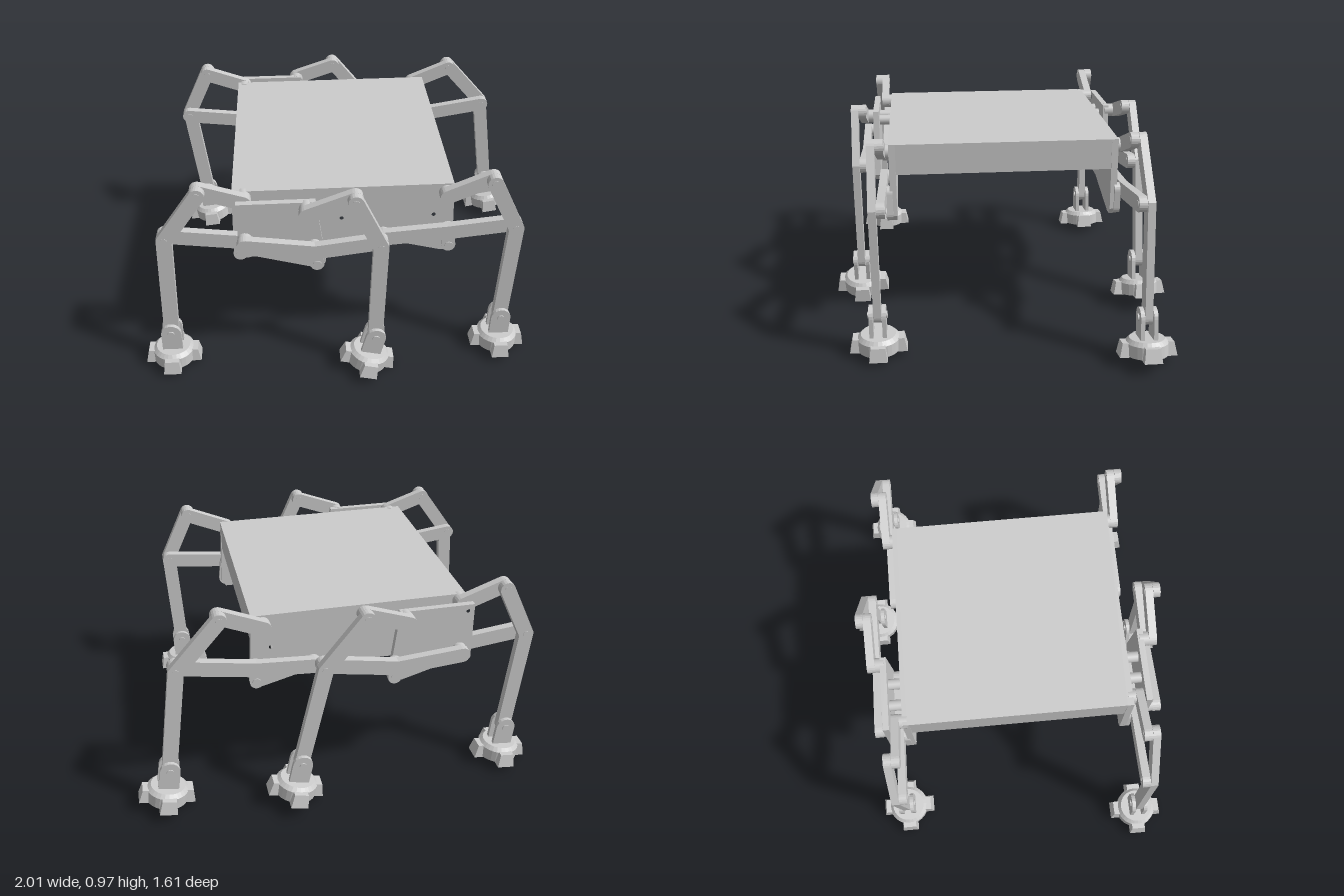
import * as THREE from 'three';

const grey = new THREE.MeshStandardMaterial({ color: 0xcccccc });
const YAW = 0.026, MID_Z = -0.012;

function add(parent, name, geometry, x = 0, y = 0, z = 0) {
  const mesh = new THREE.Mesh(geometry, grey);
  mesh.name = name;
  mesh.position.set(x, y, z);
  parent.add(mesh);
  return mesh;
}

function extrude(shape, depth) {
  const g = new THREE.ExtrudeGeometry(shape, { depth, bevelEnabled: false, curveSegments: 10 });
  return g.translate(0, 0, -depth / 2);
}

// Flat bar along a polyline, with mitred bends and round ends
function link(points, width, depth) {
  const p = points.map(([x, y]) => new THREE.Vector2(x, y));
  const r = width / 2, n = p.length;
  const dirs = p.slice(1).map((q, i) => q.clone().sub(p[i]).normalize());
  const offset = (i, side) => {
    const a = dirs[Math.max(i - 1, 0)], b = dirs[Math.min(i, n - 2)];
    const t = a.clone().add(b).normalize();
    const k = side * r / t.dot(a);
    return new THREE.Vector2(p[i].x - t.y * k, p[i].y + t.x * k);
  };
  const out = [];
  const cap = (c, start) => {
    for (let i = 0; i <= 10; i++) {
      const a = start + Math.PI * i / 10;
      out.push(new THREE.Vector2(c.x + r * Math.cos(a), c.y + r * Math.sin(a)));
    }
  };
  cap(p[n - 1], dirs[n - 2].angle() - Math.PI / 2);
  for (let i = n - 2; i > 0; i--) out.push(offset(i, 1));
  cap(p[0], dirs[0].angle() + Math.PI / 2);
  for (let i = 1; i < n - 1; i++) out.push(offset(i, -1));
  return extrude(new THREE.Shape(out), depth);
}

// Cylinder along z between two depths
function pin(parent, name, [x, y], z0, z1, r) {
  const g = new THREE.CylinderGeometry(r, r, Math.abs(z1 - z0), 20).rotateX(Math.PI / 2);
  return add(parent, name, g, x, y, (z0 + z1) / 2);
}

// Plate from outline points, with small round screw holes
function plate(points, holes, depth) {
  const s = new THREE.Shape(points.map(([x, y]) => new THREE.Vector2(x, y)));
  for (const [x, y] of holes) s.holes.push(new THREE.Path().absarc(x, y, 0.009, 0, Math.PI * 2, true));
  return extrude(s, depth);
}

// Swivelling foot: bevelled disc, four flared lugs and an ankle fork
function makeFoot() {
  const foot = new THREE.Group();
  foot.name = 'foot';
  const profile = [[0, -0.165], [0.095, -0.165], [0.095, -0.11], [0.078, -0.092], [0, -0.092]];
  const disc = new THREE.LatheGeometry(profile.map(([x, y]) => new THREE.Vector2(x, y)), 28).toNonIndexed();
  disc.computeVertexNormals();
  add(foot, 'footDisc', disc);
  for (let i = 0; i < 4; i++) {
    const g = new THREE.BoxGeometry(0.08, 0.062, 0.09).toNonIndexed();
    const pos = g.attributes.position;
    for (let k = 0; k < pos.count; k++) {
      if (pos.getY(k) > 0) {
        pos.setX(k, pos.getX(k) * 0.8);
        if (pos.getZ(k) > 0) pos.setZ(k, 0.032);
      }
    }
    g.computeVertexNormals();
    add(foot, 'footLug', g.translate(0, -0.137, 0.082).rotateY(i * Math.PI / 2));
  }
  for (const s of [-1, 1]) add(foot, 'ankleFork', link([[0, -0.1], [0, 0]], 0.092, 0.018), 0, 0, s * 0.029);
  pin(foot, 'anklePin', [0, 0], -0.044, 0.044, 0.016);
  return foot;
}

// One leg linkage; side is +1 at the front and -1 at the back
function makeLeg(d, side) {
  const leg = new THREE.Group();
  leg.name = d.name;
  const zLeg = side * (d.outer ? 0.682 : 0.584);
  const zRod = zLeg - side * 0.036, zRocker = zRod - side * 0.03;
  const zFrame = side * (d.outer ? 0.585 : 0.495);
  add(leg, 'bentLeg', link([d.top, d.knee, d.ankle], 0.068, 0.034), 0, 0, zLeg);
  add(leg, 'upperRocker', link([d.top, d.upper], 0.068, 0.036), 0, 0, zRod);
  add(leg, 'connectingRod', link([d.crank, d.bend, d.knee], 0.07, 0.036), 0, 0, zRod);
  add(leg, 'lowerRocker', link([d.bend, d.lower], 0.062, 0.028), 0, 0, zRocker);
  pin(leg, 'upperPivot', d.upper, zFrame, zRod, 0.033);
  pin(leg, 'crankPin', d.crank, zFrame, zRod, 0.033);
  pin(leg, 'lowerPivot', d.lower, zFrame, zRocker + side * 0.018, 0.02);
  pin(leg, 'kneePin', d.knee, zRod - side * 0.02, zLeg + side * 0.019, 0.016);
  pin(leg, 'topPin', d.top, zRod - side * 0.02, zLeg + side * 0.019, 0.016);
  const foot = makeFoot();
  foot.position.set(d.ankle[0], d.ankle[1], zLeg);
  foot.rotation.z = THREE.MathUtils.degToRad(d.tilt);
  leg.add(foot);
  return leg;
}

const frontLegs = [
  { name: 'frontRightLeg', top: [-0.69, 0.935], knee: [-0.85, 0.71], ankle: [-0.872, 0.195], upper: [-0.5, 0.87],
    crank: [-0.25, 0.65], bend: [-0.52, 0.665], lower: [-0.53, 0.575], tilt: -1 },
  { name: 'frontMiddleLeg', outer: true, top: [-0.025, 0.937], knee: [0.085, 0.7], ankle: [0.068, 0.2], upper: [-0.23, 0.86],
    crank: [-0.5, 0.71], bend: [-0.2, 0.665], lower: [-0.19, 0.575], tilt: -14 },
  { name: 'frontLeftLeg', top: [0.58, 0.942], knee: [0.695, 0.7], ankle: [0.668, 0.2], upper: [0.385, 0.86],
    crank: [0.11, 0.65], bend: [0.4, 0.67], lower: [0.41, 0.575], tilt: -2 },
];
const backLegs = [
  { name: 'backRightLeg', top: [-0.68, 0.94], knee: [-0.795, 0.7], ankle: [-0.74, 0.2], upper: [-0.49, 0.87],
    crank: [-0.22, 0.65], bend: [-0.5, 0.665], lower: [-0.5, 0.575], tilt: 6 },
  { name: 'backMiddleLeg', outer: true, top: [-0.02, 0.925], knee: [0.16, 0.7], ankle: [0.27, 0.225], upper: [-0.215, 0.86],
    crank: [-0.47, 0.67], bend: [-0.17, 0.645], lower: [-0.17, 0.575], tilt: 12 },
  { name: 'backLeftLeg', top: [0.59, 0.938], knee: [0.785, 0.715], ankle: [0.852, 0.215], upper: [0.4, 0.86],
    crank: [0.18, 0.645], bend: [0.44, 0.66], lower: [0.435, 0.575], tilt: 9 },
];

export function createModel() {
  const model = new THREE.Group();
  model.name = 'walker';
  const rig = new THREE.Group();
  rig.name = 'walkerRig';
  rig.rotation.y = -YAW;
  rig.position.z = MID_Z;
  model.add(rig);

  // Body slab
  add(rig, 'body', new THREE.BoxGeometry(0.968, 0.14, 0.99), -0.05, 0.83, 0);

  // Side frames: long inner plate, short outer plate for the middle leg
  const inner = [[-0.534, 0.9], [0.434, 0.9], [0.445, 0.57], [0.425, 0.542], [0.39, 0.542], [0.1, 0.62],
    [-0.2, 0.62], [-0.48, 0.542], [-0.525, 0.542], [-0.545, 0.57]];
  const innerHoles = [[0.14, 0.86], [-0.06, 0.86], [-0.06, 0.74], [0.35, 0.74]];
  const outer = [[-0.53, 0.89], [-0.19, 0.89], [-0.15, 0.57], [-0.17, 0.542], [-0.21, 0.542], [-0.46, 0.615], [-0.53, 0.615]];
  const outerHoles = [[-0.5, 0.86], [-0.5, 0.65]];
  for (const side of [1, -1]) {
    const legs = new THREE.Group();
    legs.name = side > 0 ? 'frontSide' : 'backSide';
    legs.position.x = side * 0.015;
    add(rig, 'innerPlate', plate(inner, innerHoles, 0.03), 0, 0, side * 0.501);
    add(legs, 'outerPlate', plate(outer, outerHoles, 0.028), 0, 0, side * 0.59);
    for (const x of [-0.4, -0.3]) pin(legs, 'plateSpacer', [x, 0.82], side * 0.5, side * 0.585, 0.025);
    for (const d of side > 0 ? frontLegs : backLegs) legs.add(makeLeg(d, side));
    rig.add(legs);
  }
  return model;
}
